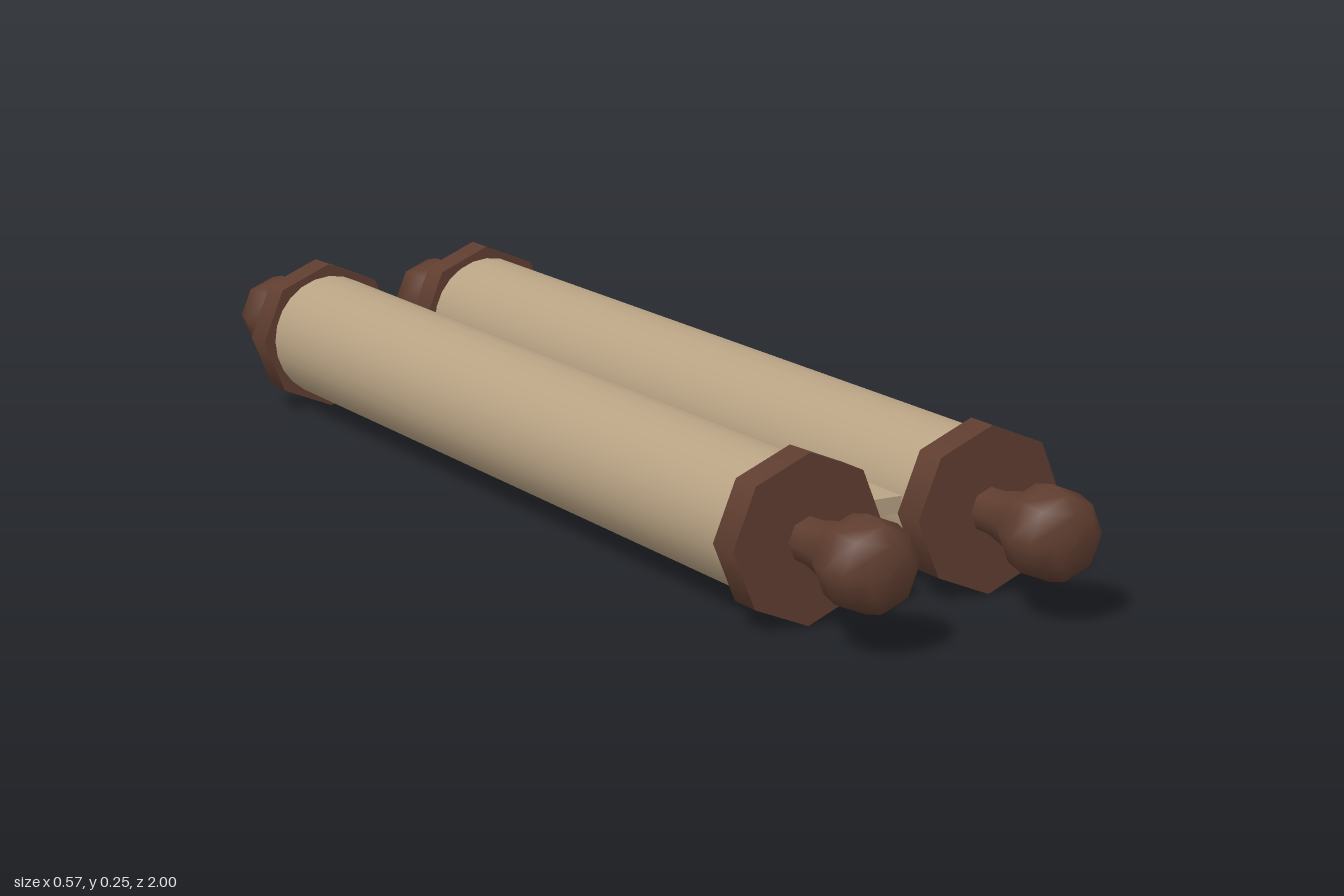
import * as THREE from 'three';

export function createModel() {
  const group = new THREE.Group();
  const wood = new THREE.MeshStandardMaterial({ color: 0x603e30 });
  wood.name = 'dark wood';
  const parchment = new THREE.MeshStandardMaterial({ color: 0xb9a384 });
  parchment.name = 'parchment';

  const CY = 0.128, CX = 0.157;

  function add(parent, name, geometry, material, z = 0) {
    const mesh = new THREE.Mesh(geometry, material);
    mesh.name = name;
    mesh.position.z = z;
    parent.add(mesh);
    return mesh;
  }

  // Shared geometries, turned so their axis runs along z
  const rollGeo = new THREE.CylinderGeometry(0.106, 0.106, 1.5, 24).rotateX(Math.PI / 2);
  const discGeo = new THREE.CylinderGeometry(0.127, 0.127, 0.053, 8).rotateX(Math.PI / 2);
  const knobProfile = [
    [0.035, 0.79], [0.036, 0.825], [0.046, 0.872], [0.064, 0.9],
    [0.072, 0.937], [0.063, 0.975], [0.04, 0.998], [0, 1],
  ].map(([r, h]) => new THREE.Vector2(r, h));
  const knobGeo = new THREE.LatheGeometry(knobProfile, 8).rotateX(Math.PI / 2);

  // Two rolled halves, each with a disc and a turned handle at both ends
  for (const [side, sx] of [['left', 1], ['right', -1]]) {
    const half = new THREE.Group();
    half.name = side + 'Roller';
    half.position.set(sx * CX, CY, 0);
    group.add(half);
    add(half, side + 'Roll', rollGeo, parchment);
    for (const [end, sz] of [['Front', 1], ['Back', -1]]) {
      add(half, side + end + 'Disc', discGeo, wood, sz * 0.768);
      const knob = add(half, side + end + 'Handle', knobGeo, wood);
      if (sz < 0) knob.rotation.y = Math.PI;
    }
  }

  // Flat sheet joining the two rolls
  const sheet = add(group, 'sheet', new THREE.BoxGeometry(0.2, 0.026, 1.436), parchment);
  sheet.position.y = 0.133;

  return group;
}
